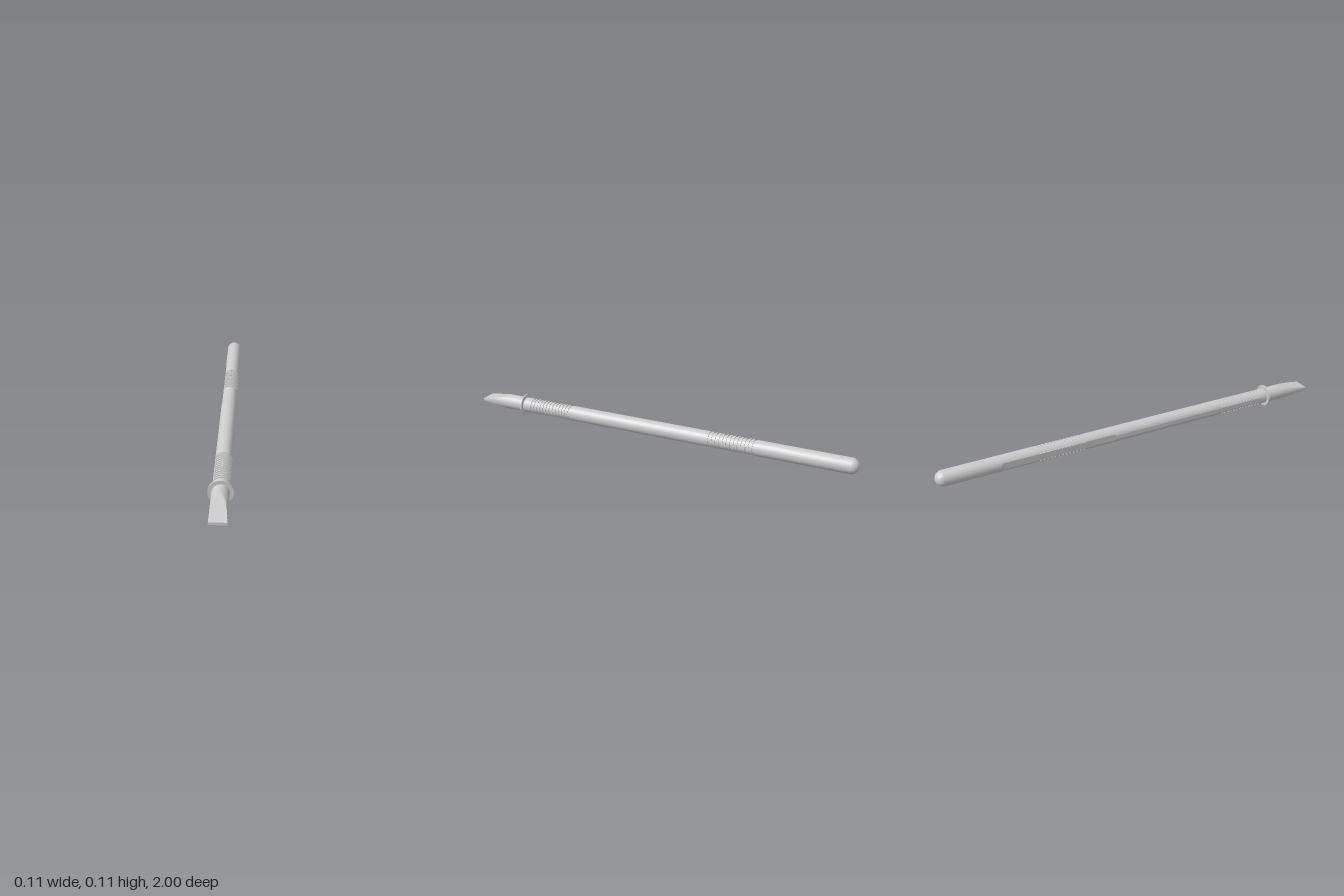
import * as THREE from 'three';
import { toCreasedNormals } from 'three/addons/utils/BufferGeometryUtils.js';

const R = 0.038;          // shaft radius
const AXIS_Y = 0.0545;    // height of the axis
const COLLAR_Z = 0.755;
const SEGMENTS = 72;
const material = new THREE.MeshStandardMaterial({ color: 0xcccccc });

// Skin a list of closed sections; point(row, angle) gives [x, y, z], rows run towards +z
function loft(rows, point) {
  const positions = [], index = [];
  rows.forEach((row) => {
    for (let j = 0; j < SEGMENTS; j++) positions.push(...point(row, (j / SEGMENTS) * Math.PI * 2));
  });
  for (let i = 0; i < rows.length - 1; i++) {
    for (let j = 0; j < SEGMENTS; j++) {
      const k = (j + 1) % SEGMENTS;
      const a = i * SEGMENTS + j, b = i * SEGMENTS + k;
      const c = b + SEGMENTS, d = a + SEGMENTS;
      index.push(a, b, c, a, c, d);
    }
  }
  const geometry = new THREE.BufferGeometry();
  geometry.setAttribute('position', new THREE.Float32BufferAttribute(positions, 3));
  geometry.setIndex(index);
  return toCreasedNormals(geometry, 0.17);
}

function addPart(group, name, geometry) {
  const mesh = new THREE.Mesh(geometry, material);
  mesh.name = name;
  group.add(mesh);
  return mesh;
}

// Shaft: domed rear end, two bands of grip grooves and a flattened right side
function shaftGeometry() {
  const rows = [];
  const add = (z, r, flat = R, groove = 0) => rows.push({ z, r, flat, groove });
  const grooves = (start, end, flat) => {
    const count = 13, pitch = (end - start) / count;
    for (let i = 0; i < count; i++) {
      const z0 = start + pitch * (i + 0.25), z1 = z0 + pitch * 0.5;
      add(z0, R, flat);
      add(z0, R, flat, 0.004);
      add(z1, R, flat, 0.004);
      add(z1, R, flat);
    }
  };
  for (let i = 0; i <= 12; i++) {
    const a = (i / 12) * Math.PI / 2;
    add(-1 + R * (1 - Math.cos(a)), R * Math.sin(a));
  }
  add(-0.7, R);
  add(-0.685, R, 0.034);
  grooves(-0.52, -0.28, 0.034);
  add(-0.135, R, 0.034);
  add(-0.115, R, 0.0365);
  grooves(0.47, 0.71, 0.0365);
  add(0.72, R, 0.0365);
  add(0.73, R);
  add(COLLAR_Z, R);

  return loft(rows, ({ z, r, flat, groove }, t) => {
    // The grooves stop short of the flat side
    const radius = r - (Math.cos(t) > -0.88 ? groove : 0);
    return [Math.max(radius * Math.cos(t), -flat), radius * Math.sin(t), z];
  });
}

// Blade: round bar ground to a wedge with a thin, full-width edge
function bladeGeometry() {
  const start = 0.83, tip = 0.006;
  const rows = [{ z: COLLAR_Z, h: R, s: 1 }];
  for (let i = 0; i <= 24; i++) {
    const f = i / 24;
    rows.push({ z: start + (1 - start) * f, h: R + (tip - R) * f, s: 1 });
  }
  rows.push({ z: 1, h: tip, s: 0 }); // closes the tip
  return loft(rows, ({ z, h, s }, t) => [
    s * R * Math.cos(t),
    s * THREE.MathUtils.clamp(R * Math.sin(t), -h, h),
    z,
  ]);
}

export function createModel() {
  const group = new THREE.Group();
  group.name = 'chiselTool';

  addPart(group, 'shaft', shaftGeometry());
  addPart(group, 'blade', bladeGeometry());

  // Thin round collar between grip and blade
  const disc = new THREE.CylinderGeometry(0.0545, 0.0545, 0.008, SEGMENTS);
  disc.rotateX(Math.PI / 2);
  addPart(group, 'collar', disc).position.z = COLLAR_Z;

  group.children.forEach((part) => { part.position.y = AXIS_Y; });
  return group;
}
